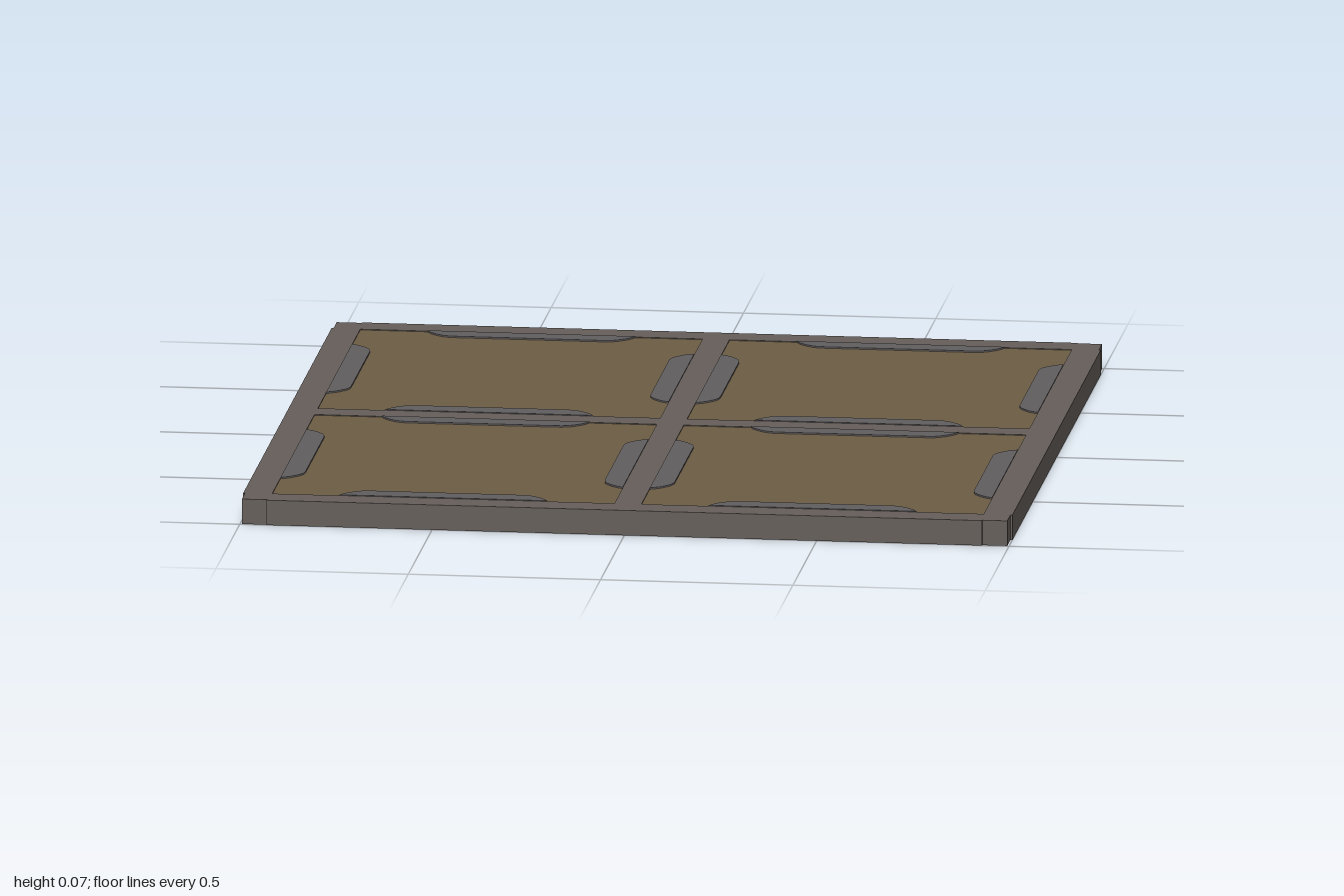
import * as THREE from 'three';

const frameGrey = new THREE.MeshStandardMaterial({ color: 0x655e59 });
frameGrey.name = 'frameGrey';
const lobeGrey = new THREE.MeshStandardMaterial({ color: 0x615e60 });
lobeGrey.name = 'lobeGrey';
const panelBrown = new THREE.MeshStandardMaterial({ color: 0x6d5d45 });
panelBrown.name = 'panelBrown';

const INNER = 0.035, OUTER = 0.925; // extent of each square opening
const MID = (INNER + OUTER) / 2, SIZE = OUTER - INNER;
const TOP = 0.066;

// Extrude a plan outline upwards from height y
function slab(shape, y, height) {
  const g = new THREE.ExtrudeGeometry(shape, { depth: height, bevelEnabled: false, curveSegments: 4 });
  return g.rotateX(-Math.PI / 2).translate(0, y, 0);
}

function square(cx, cy, size, Type = THREE.Shape) {
  const h = size / 2, s = new Type();
  s.moveTo(cx - h, cy - h);
  s.lineTo(cx + h, cy - h);
  s.lineTo(cx + h, cy + h);
  s.lineTo(cx - h, cy + h);
  s.closePath();
  return s;
}

// Shallow tab with softened corners, growing towards -z from the opening's edge
function lobeShape() {
  const s = new THREE.Shape();
  s.moveTo(-0.27, 0);
  s.lineTo(0.27, 0);
  s.quadraticCurveTo(0.26, 0.025, 0.235, 0.042);
  s.quadraticCurveTo(0.22, 0.056, 0.19, 0.056);
  s.lineTo(-0.19, 0.056);
  s.quadraticCurveTo(-0.22, 0.056, -0.235, 0.042);
  s.quadraticCurveTo(-0.26, 0.025, -0.27, 0);
  return s;
}

export function createModel() {
  const model = new THREE.Group();
  model.name = 'floorTile';

  const corners = [[-1, -1], [1, -1], [-1, 1], [1, 1]];

  // Frame with four openings
  const outline = square(0, 0, 1.99);
  for (const [sx, sz] of corners) outline.holes.push(square(sx * MID, sz * MID, SIZE, THREE.Path));
  const frame = new THREE.Mesh(slab(outline, 0, TOP), frameGrey);
  frame.name = 'frame';
  model.add(frame);

  const backing = new THREE.BoxGeometry(SIZE, 0.03, SIZE);
  const sheet = new THREE.BoxGeometry(SIZE, 0.016, SIZE);
  const lobe = slab(lobeShape(), TOP - 0.006, 0.008);

  for (const [sx, sz] of corners) {
    const quarter = new THREE.Group();
    quarter.name = 'quarterPanel';
    quarter.position.set(sx * MID, 0, sz * MID);

    // Underside set back behind the frame ribs
    const under = new THREE.Mesh(backing, frameGrey);
    under.name = 'panelUnderside';
    under.position.y = 0.034;
    quarter.add(under);

    // Brown top sheet
    const top = new THREE.Mesh(sheet, panelBrown);
    top.name = 'panelTop';
    top.position.y = TOP - 0.01;
    quarter.add(top);

    // One tab on each side of the opening
    for (let i = 0; i < 4; i++) {
      const a = i * Math.PI / 2;
      const tab = new THREE.Mesh(lobe, lobeGrey);
      tab.name = 'edgeTab';
      tab.rotation.y = a;
      tab.position.set(Math.sin(a) * SIZE / 2, 0, Math.cos(a) * SIZE / 2);
      quarter.add(tab);
    }
    model.add(quarter);
  }

  // Thin outer skirts between the corners
  for (let i = 0; i < 4; i++) {
    const skirt = new THREE.Mesh(new THREE.BoxGeometry(1.86, TOP, 0.005), frameGrey);
    skirt.name = 'edgeSkirt';
    const a = i * Math.PI / 2;
    skirt.rotation.y = a;
    skirt.position.set(Math.sin(a) * 0.9975, TOP / 2, Math.cos(a) * 0.9975);
    model.add(skirt);
  }
  return model;
}
